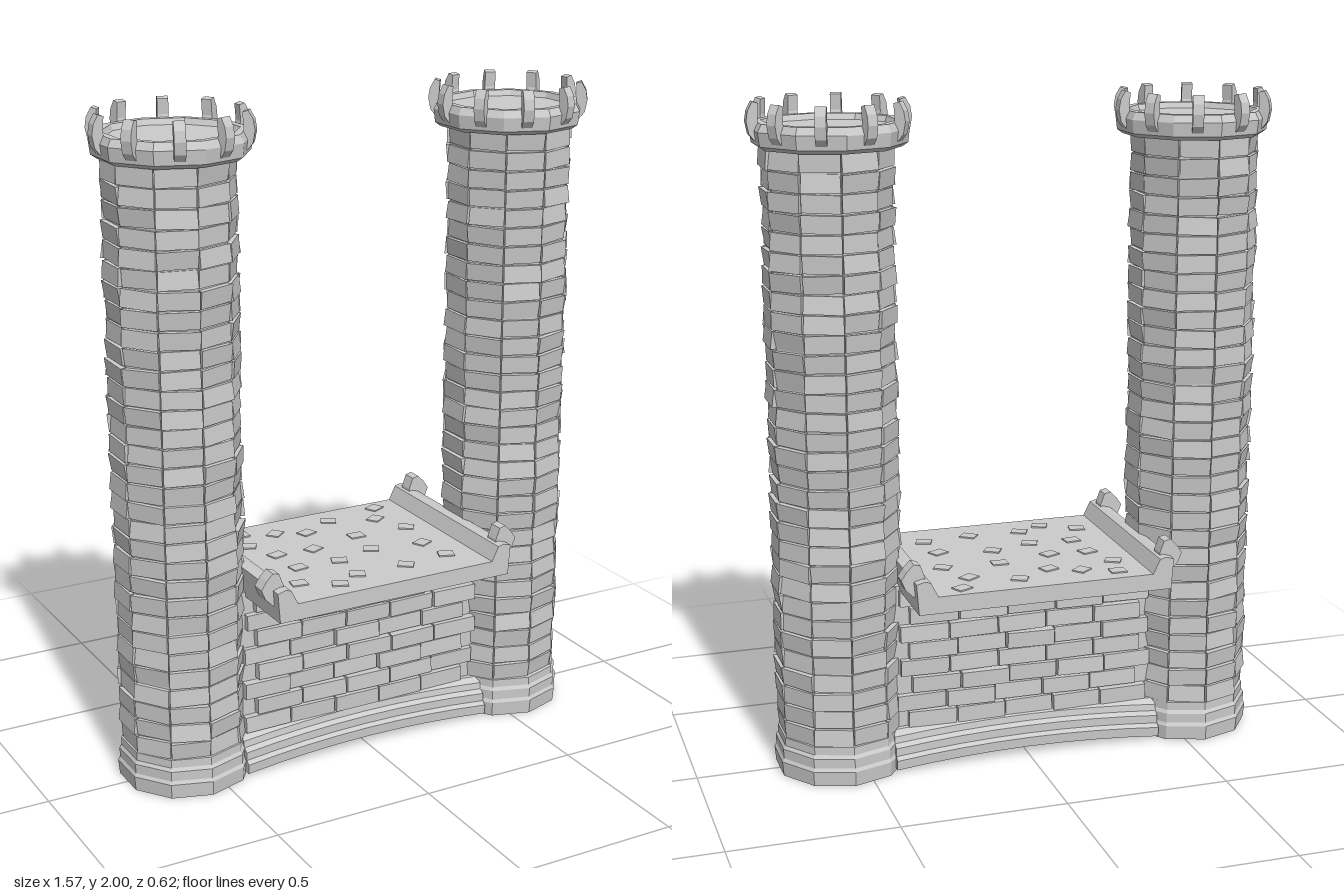
import * as THREE from 'three';
import { mergeGeometries } from 'three/addons/utils/BufferGeometryUtils.js';

const SIDES = 10;
const STEP = (Math.PI * 2) / SIDES;
const stone = new THREE.MeshStandardMaterial({ color: 0xcccccc, flatShading: true });

let seed = 7;
const rand = (a, b) => {
  seed = (seed * 16807) % 2147483647;
  return a + (b - a) * (seed / 2147483647);
};

function add(parent, geometry, name) {
  const mesh = new THREE.Mesh(geometry, stone);
  mesh.name = name;
  parent.add(mesh);
  return mesh;
}

const lathe = (pts) =>
  new THREE.LatheGeometry(pts.map(([r, y]) => new THREE.Vector2(r, y)), SIDES);

// Extrudes an outline in x/y along z, centred on z = 0
function slab(pts, depth, steps = 1) {
  const shape = new THREE.Shape(pts.map(([x, y]) => new THREE.Vector2(x, y)));
  return new THREE.ExtrudeGeometry(shape, { depth, steps, bevelEnabled: false })
    .translate(0, 0, -depth / 2);
}

// One slightly irregular stone filling one facet of a tower course
function towerBrick(side, y, h) {
  const g = new THREE.BoxGeometry(1, 1, 1);
  const p = g.attributes.position;
  const outer = rand(0.184, 0.194);
  const flare = rand(-0.004, 0.005);
  const tilt = rand(-0.004, 0.004);
  for (let i = 0; i < p.count; i++) {
    const u = p.getX(i), v = p.getY(i), out = p.getZ(i) > 0;
    const a = (side + 0.5 + u * 0.97) * STEP;
    const r = out ? outer + flare * v * 2 : 0.165;
    p.setXYZ(i, r * Math.sin(a), y + v * (h - 0.005) + tilt * u, r * Math.cos(a));
  }
  return g;
}

function makeTower() {
  const tower = new THREE.Group();

  // Flared foot with a stepped hollow underneath
  add(tower, lathe([
    [0, 0.1], [0.08, 0.1], [0.08, 0.07], [0.105, 0.07], [0.105, 0.04], [0.135, 0.04],
    [0.135, 0.005], [0.198, 0], [0.202, 0.045], [0.196, 0.055], [0.197, 0.085],
    [0.19, 0.095], [0.19, 0.12], [0.17, 0.125],
  ]), 'towerFoot');

  // Mortar core
  add(tower, lathe([[0.178, 0.1], [0.178, 1.88]]), 'towerCore');

  // Courses of stones, one per facet
  const rows = 31, h = 1.75 / rows, bricks = [];
  for (let row = 0; row < rows; row++)
    for (let s = 0; s < SIDES; s++) bricks.push(towerBrick(s, 0.12 + (row + 0.5) * h, h));
  add(tower, mergeGeometries(bricks), 'towerBricks');

  // Crown: raised rim around a sunken floor
  const crown = new THREE.Group();
  crown.name = 'crown';
  crown.position.x = -0.01;
  tower.add(crown);
  add(crown, lathe([
    [0, 1.868], [0.205, 1.868], [0.222, 1.88], [0.227, 1.92], [0.215, 1.942],
    [0.192, 1.942], [0.184, 1.925], [0, 1.925],
  ]), 'crownRim');

  // Claw-like battlements, one at the middle of each facet
  for (let s = 0; s < SIDES; s++) {
    const tooth = slab([
      [0.195, 1.91], [0.214, 1.89], [0.23, 1.91], [0.237, 1.945],
      [0.232, 1.975], [0.218, 2.0], [0.202, 1.995], [0.205, 1.95],
    ], 0.032);
    add(crown, tooth, 'battlement').rotation.y = s * STEP;
  }
  return tower;
}

function makeWall() {
  const wall = new THREE.Group();
  wall.name = 'wall';
  add(wall, new THREE.BoxGeometry(0.84, 0.47, 0.17).translate(0, 0.335, 0), 'wallCore');

  // Staggered bricks on both faces
  const rows = 8, h = 0.44 / rows, w = 0.153, bricks = [];
  for (const face of [1, -1])
    for (let row = 0; row < rows; row++) {
      const shift = (row % 2 ? 0.02 : -0.02) + rand(-0.01, 0.01);
      for (let c = -2; c <= 2; c++) {
        const depth = rand(0.03, 0.045);
        bricks.push(new THREE.BoxGeometry(w - 0.005, h - 0.006, depth)
          .rotateZ(rand(-0.02, 0.02))
          .rotateX(rand(-0.06, 0.06))
          .translate(c * w + shift, 0.12 + (row + 0.5) * h, face * (0.07 + depth / 2)));
      }
    }
  add(wall, mergeGeometries(bricks), 'wallBricks');

  // Stepped plinth, slightly pinched and lifted in the middle
  const half = [[0.14, 0.01], [0.142, 0.04], [0.13, 0.05], [0.13, 0.075],
    [0.115, 0.085], [0.112, 0.105], [0.095, 0.12]];
  const outline = [...half, ...half.map(([x, y]) => [-x, y]).reverse()];
  const plinth = slab(outline, 0.84, 8).rotateY(Math.PI / 2);
  const p = plinth.attributes.position;
  for (let i = 0; i < p.count; i++) {
    const mid = 1 - (p.getX(i) / 0.42) ** 2;
    p.setY(i, p.getY(i) + 0.015 * mid);
    p.setZ(i, p.getZ(i) * (1.08 - 0.12 * mid));
  }
  add(wall, plinth, 'plinth');
  return wall;
}

function makeDeck() {
  const deck = new THREE.Group();
  deck.name = 'deck';

  // Walkway slab with sloped curbs along both ends
  const half = [[0.388, 0.555], [0.395, 0.648], [0.37, 0.655], [0.352, 0.65], [0.33, 0.606]];
  add(deck, slab([...half, ...half.map(([x, y]) => [-x, y]).reverse()], 0.62), 'walkway');

  // Claws on the curbs
  for (const turn of [0, Math.PI])
    for (const z of [-0.257, 0.257]) {
      const claw = slab([
        [0.36, 0.62], [0.395, 0.6], [0.42, 0.625], [0.432, 0.655],
        [0.415, 0.68], [0.395, 0.7], [0.375, 0.695], [0.362, 0.66],
      ], 0.045).translate(0, 0, z);
      add(deck, claw, 'curbClaw').rotation.y = turn;
    }

  // Scattered paving stones
  const spots = [
    [-0.24, -0.25], [-0.14, -0.21], [-0.05, -0.17], [0.06, -0.23], [0.245, -0.26],
    [0.2, -0.175], [-0.26, -0.155], [-0.215, -0.05], [-0.095, -0.04], [0.075, -0.075],
    [0.25, -0.065], [-0.205, 0.07], [-0.07, 0.08], [0.06, 0.045], [0.225, 0.075],
    [-0.26, 0.18], [-0.155, 0.24], [-0.075, 0.2], [0.09, 0.205], [0.24, 0.19],
  ];
  const stones = spots.map(([x, z]) =>
    new THREE.BoxGeometry(0.048, 0.012, 0.04)
      .rotateY(rand(-0.7, 0.7))
      .translate(x, 0.604, z));
  add(deck, mergeGeometries(stones), 'pavingStones');
  return deck;
}

export function createModel() {
  const model = new THREE.Group();
  model.name = 'castleGate';

  const leftTower = makeTower();
  leftTower.name = 'leftTower';
  leftTower.position.x = 0.56;

  const rightTower = makeTower();
  rightTower.name = 'rightTower';
  rightTower.position.x = -0.56;
  rightTower.rotation.y = Math.PI;

  model.add(leftTower, rightTower, makeWall(), makeDeck());
  return model;
}
